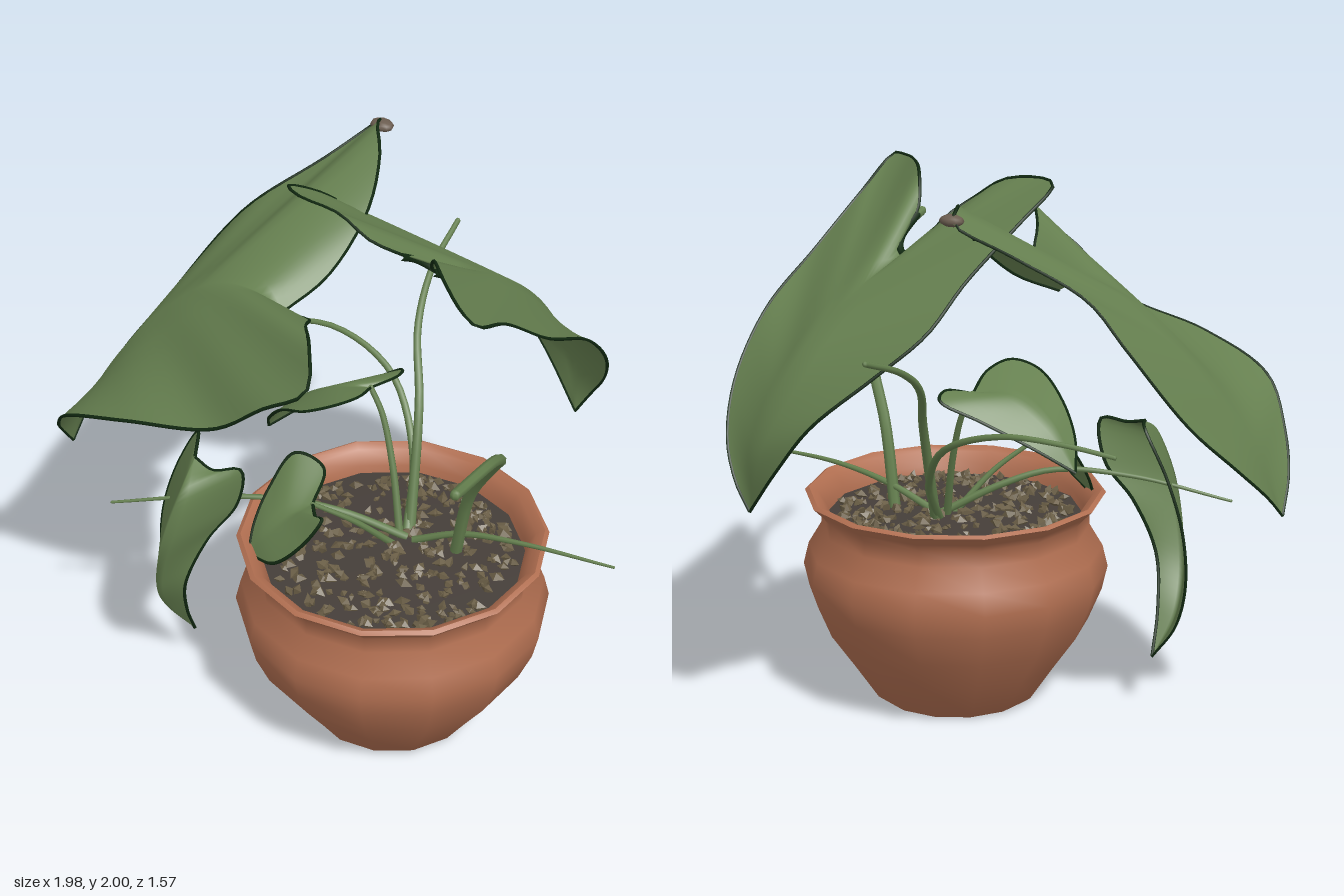
import * as THREE from 'three';
import { toCreasedNormals } from 'three/addons/utils/BufferGeometryUtils.js';

const paint = (name, color, extra = {}) => {
  const m = new THREE.MeshStandardMaterial({ color, ...extra });
  m.name = name;
  return m;
};
const terracotta = paint('terracotta', 0xb06e50);
const leafGreen = paint('leaf green', 0x668050, { side: THREE.DoubleSide });
const stemGreen = paint('stem green', 0x647f4e);
const edgeGreen = paint('dark leaf edge', 0x122a12);
const soilBrown = paint('soil', 0x453e39);
const pebbleBrown = paint('pebble', 0x6a5e46, { flatShading: true });
const witheredBrown = paint('withered brown', 0x6b5d50);

const POT_X = 0.22, POT_Z = 0.13;
const curve = pts => new THREE.CatmullRomCurve3(pts.map(p => new THREE.Vector3(...p)), false, 'centripetal');

function add(parent, name, geometry, material) {
  const mesh = new THREE.Mesh(geometry, material);
  mesh.name = name;
  parent.add(mesh);
  return mesh;
}

// A blade skinned from one margin across the midrib to the other margin;
// all three curves run from the notch at the stalk to the tip.
function leaf(parent, name, { base, tip, left, mid, right }, bulge = 0.015) {
  const group = new THREE.Group();
  group.name = name;
  const [L, M, R] = [left, mid, right].map(c => curve([base, ...c, tip]));
  const rows = 40, half = 6, cols = 2 * half + 1;
  const pos = [], idx = [];
  for (let i = 0; i <= rows; i++) {
    const u = i / rows;
    const m = M.getPointAt(u), l = L.getPointAt(u), r = R.getPointAt(u);
    for (let j = -half; j <= half; j++) {
      const v = Math.abs(j) / half;
      const p = m.clone().lerp(j < 0 ? l : r, v);
      p.y += bulge * Math.cos(Math.PI * v / 2) * Math.sin(Math.PI * u);
      pos.push(p.x, p.y, p.z);
    }
  }
  for (let i = 0; i < rows; i++) for (let j = 0; j < cols - 1; j++) {
    const a = i * cols + j, b = a + cols;
    idx.push(a, b, a + 1, b, b + 1, a + 1);
  }
  const g = new THREE.BufferGeometry();
  g.setAttribute('position', new THREE.Float32BufferAttribute(pos, 3));
  g.setIndex(idx);
  g.computeVertexNormals();
  add(group, name + 'Blade', g, leafGreen);
  for (const [side, c] of [['Left', L], ['Right', R]])
    add(group, name + side + 'Edge', new THREE.TubeGeometry(c, 50, 0.006, 4), edgeGreen);
  parent.add(group);
}

// A stalk tapering from r0 to r1, with a closed end
function stem(parent, name, pts, r0, r1) {
  const path = curve(pts), seg = 24, sides = 7;
  const g = new THREE.TubeGeometry(path, seg, 1, sides);
  const p = g.attributes.position, v = new THREE.Vector3();
  for (let i = 0; i < p.count; i++) {
    const u = Math.floor(i / (sides + 1)) / seg, c = path.getPointAt(u);
    v.fromBufferAttribute(p, i).sub(c).multiplyScalar(r0 + (r1 - r0) * u).add(c);
    p.setXYZ(i, v.x, v.y, v.z);
  }
  add(parent, name, g, stemGreen);
  add(parent, name + 'End', new THREE.SphereGeometry(r1, 7, 5), stemGreen).position.set(...pts[pts.length - 1]);
}

function buildPot(parent) {
  const profile = [[0, 0.012], [0.29, 0], [0.31, 0.015], [0.4, 0.15], [0.49, 0.28], [0.54, 0.4], [0.56, 0.49],
    [0.54, 0.57], [0.492, 0.65], [0.49, 0.71], [0.515, 0.74], [0.55, 0.775], [0.535, 0.785], [0.505, 0.77], [0.472, 0.72], [0.465, 0.66]];
  const g = new THREE.LatheGeometry(profile.map(p => new THREE.Vector2(...p)), 14);
  add(parent, 'pot', toCreasedNormals(g, 0.9), terracotta).position.set(POT_X, 0, POT_Z);

  // Soil, slightly domed, with loose pebbles
  const soil = new THREE.LatheGeometry([[0.469, 0.69], [0.3, 0.705], [0, 0.71]].map(p => new THREE.Vector2(...p)), 14);
  add(parent, 'soil', soil, soilBrown).position.set(POT_X, 0, POT_Z);
  let seed = 7;
  const rnd = () => (seed = (seed * 16807) % 2147483647) / 2147483647;
  const n = 340;
  const stone = new THREE.OctahedronGeometry(1);
  const pebbles = new THREE.Group();
  pebbles.name = 'pebbles';
  for (let i = 0; i < n; i++) {
    const r = 0.43 * Math.sqrt(rnd()), a = rnd() * Math.PI * 2, s = 0.013 + 0.012 * rnd();
    const m = add(pebbles, 'pebble', stone, pebbleBrown);
    m.position.set(POT_X + r * Math.cos(a), 0.715 - 0.03 * r, POT_Z + r * Math.sin(a));
    m.rotation.set(rnd() * 6, rnd() * 6, rnd() * 6);
    m.scale.set(s, s * 0.8, s * 1.4);
  }
  parent.add(pebbles);
}

export function createModel() {
  const plant = new THREE.Group();
  plant.name = 'pottedPlant';
  buildPot(plant);

  // Two large heart-shaped leaves
  leaf(plant, 'largeFrontLeaf', {
    base: [-0.2, 1.58, 0.2], tip: [-0.97, 0.85, 0.48],
    left: [[-0.14, 1.66, 0.03], [-0.13, 1.82, -0.18], [-0.2, 1.94, -0.34], [-0.28, 1.99, -0.43], [-0.33, 1.95, -0.51], [-0.45, 1.83, -0.35],
      [-0.62, 1.68, -0.18], [-0.74, 1.53, -0.13], [-0.89, 1.26, 0.02], [-0.97, 1.08, 0.2], [-0.985, 0.95, 0.36]],
    mid: [[-0.3, 1.63, 0.22], [-0.48, 1.59, 0.23], [-0.7, 1.39, 0.32], [-0.88, 1.1, 0.43]],
    right: [[-0.05, 1.64, 0.25], [0.06, 1.74, 0.4], [0.18, 1.78, 0.53], [0.26, 1.71, 0.65], [0.12, 1.61, 0.7],
      [-0.08, 1.45, 0.72], [-0.42, 1.36, 0.77], [-0.7, 1.25, 0.76], [-0.84, 1.1, 0.67], [-0.93, 0.97, 0.57]],
  });
  leaf(plant, 'largeBackLeaf', {
    base: [0.2, 1.71, -0.16], tip: [0.4, 0.88, -0.74],
    left: [[0.135, 1.77, -0.1], [0.13, 1.83, -0.02], [0.06, 1.9, 0.06], [-0.05, 1.97, 0.08], [-0.2, 1.99, 0.1], [-0.28, 1.98, 0.06], [-0.27, 1.88, -0.1],
      [-0.2, 1.7, -0.3], [-0.18, 1.55, -0.48], [-0.08, 1.42, -0.62], [0.08, 1.25, -0.76], [0.22, 1.08, -0.78]],
    mid: [[0.24, 1.59, -0.4], [0.3, 1.36, -0.64], [0.36, 1.1, -0.75]],
    right: [[0.26, 1.75, -0.11], [0.27, 1.83, -0.01], [0.34, 1.94, 0.08], [0.45, 1.96, 0.18], [0.58, 1.95, 0.27], [0.66, 1.94, 0.3],
      [0.64, 1.83, 0.1], [0.66, 1.66, -0.12], [0.64, 1.49, -0.4], [0.6, 1.28, -0.6], [0.53, 1.1, -0.71], [0.45, 0.97, -0.75]],
  });

  // Dark curled rim around the notch, and a withered lobe tip
  const notch = curve([[0.13, 1.82, -0.02], [0.137, 1.77, -0.1], [0.2, 1.71, -0.16], [0.26, 1.75, -0.11], [0.27, 1.82, -0.01]]);
  add(plant, 'notchRim', new THREE.TubeGeometry(notch, 16, 0.014, 6), edgeGreen);
  const withered = add(plant, 'witheredLobeTip', new THREE.SphereGeometry(1, 10, 6), witheredBrown);
  withered.position.set(-0.3, 1.955, -0.485);
  withered.scale.set(0.045, 0.02, 0.035);

  // Small leaves
  leaf(plant, 'hangingLeaf', {
    base: [-0.36, 1.07, 0.5], tip: [-0.45, 0.2, 0.45],
    left: [[-0.44, 1.08, 0.39], [-0.53, 0.9, 0.41], [-0.58, 0.7, 0.44], [-0.59, 0.5, 0.45], [-0.55, 0.34, 0.45]],
    mid: [[-0.33, 1.0, 0.62], [-0.36, 0.8, 0.7], [-0.43, 0.55, 0.66], [-0.48, 0.35, 0.55]],
    right: [[-0.28, 1.05, 0.5], [-0.2, 1.06, 0.45], [-0.22, 0.9, 0.45], [-0.3, 0.75, 0.52], [-0.37, 0.55, 0.57], [-0.42, 0.36, 0.52]],
  }, 0);
  leaf(plant, 'youngFrontLeaf', {
    base: [0.03, 0.95, 0.34], tip: [-0.14, 0.74, 0.49],
    left: [[0.01, 1.04, 0.25], [-0.1, 1.07, 0.27], [-0.15, 0.95, 0.35], [-0.16, 0.83, 0.43]],
    mid: [[-0.04, 0.89, 0.4], [-0.1, 0.81, 0.46]],
    right: [[0.09, 0.96, 0.4], [0.15, 1.0, 0.44], [0.11, 0.91, 0.49], [0.01, 0.8, 0.53]],
  }, 0.01);
  leaf(plant, 'archedLeaf', {
    base: [0, 1.22, -0.03], tip: [-0.36, 0.97, 0.1],
    left: [[0.05, 1.24, -0.12], [0.02, 1.22, -0.18], [-0.1, 1.15, -0.1], [-0.25, 1.06, 0]],
    mid: [[-0.12, 1.21, 0.05], [-0.26, 1.11, 0.09]],
    right: [[0.04, 1.27, 0.1], [0.02, 1.29, 0.21], [-0.06, 1.26, 0.26], [-0.2, 1.18, 0.22], [-0.3, 1.07, 0.17]],
  }, 0.01);

  // Stalks
  stem(plant, 'tallSideStem', [[0.4, 0.7, 0], [0.47, 1.0, 0.03], [0.6, 1.22, 0.1], [0.74, 1.42, 0.25], [0.82, 1.55, 0.42], [0.88, 1.63, 0.7]], 0.022, 0.018);
  stem(plant, 'lowSideStem', [[0.25, 0.71, 0.05], [0.42, 0.79, 0], [0.65, 0.835, -0.04], [0.98, 0.85, -0.11]], 0.014, 0.005);
  stem(plant, 'archedStem', [[0.2, 0.7, 0.02], [0.1, 0.9, -0.15], [-0.1, 1.1, -0.28], [-0.35, 1.19, -0.28], [-0.55, 1.18, -0.2], [-0.68, 1.14, -0.1]], 0.017, 0.008);
  stem(plant, 'lowFrontStem', [[0.22, 0.71, 0.05], [0.05, 0.82, 0.18], [-0.1, 0.88, 0.3], [-0.35, 0.87, 0.45], [-0.66, 0.8, 0.62]], 0.015, 0.005);
  stem(plant, 'tallBackStem', [[0.2, 0.7, 0], [0.1, 1.12, -0.18], [-0.02, 1.3, -0.33], [-0.1, 1.42, -0.52], [-0.14, 1.5, -0.73]], 0.02, 0.01);
  stem(plant, 'archedLeafStem', [[0.2, 0.7, 0.06], [0.12, 0.95, 0], [0.05, 1.13, -0.03], [0, 1.22, -0.03]], 0.015, 0.01);
  stem(plant, 'youngLeafStem', [[0.2, 0.7, 0.1], [0.12, 0.85, 0.23], [0.03, 0.95, 0.34]], 0.013, 0.008);
  return plant;
}
